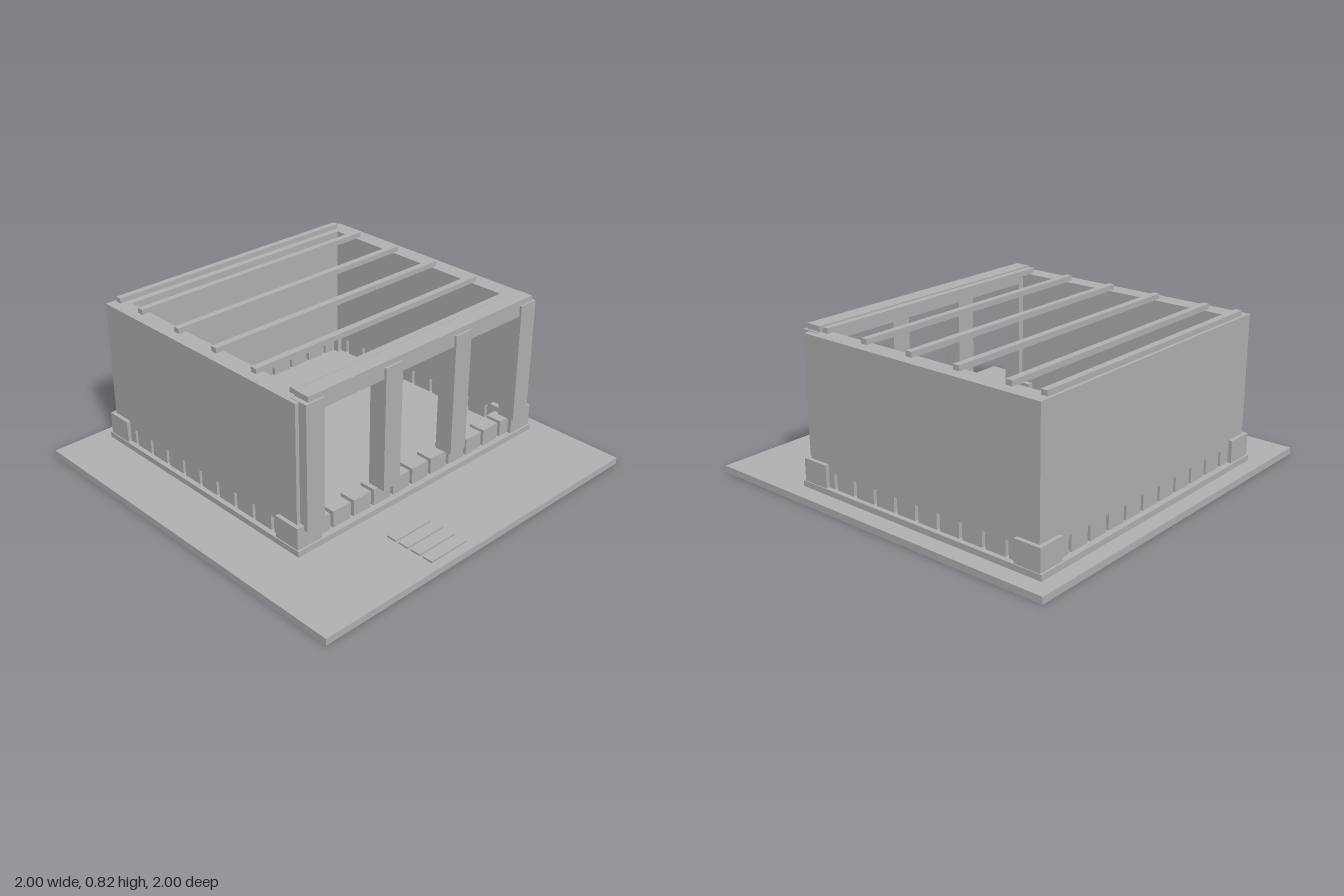
import * as THREE from 'three';

export function createModel() {
  const model = new THREE.Group();
  model.name = 'pavilion';
  const grey = new THREE.MeshStandardMaterial({ color: 0xb2b2b2 });
  grey.name = 'plain grey';

  // Box given by its two opposite corners
  function box(name, [x0, y0, z0], [x1, y1, z1], parent = model) {
    const mesh = new THREE.Mesh(new THREE.BoxGeometry(x1 - x0, y1 - y0, z1 - z0), grey);
    mesh.position.set((x0 + x1) / 2, (y0 + y1) / 2, (z0 + z1) / 2);
    mesh.name = name;
    parent.add(mesh);
  }

  // Ground slab and plinth
  box('groundSlab', [-1, 0, -1], [1, 0.035, 1]);
  box('plinth', [-0.715, 0.035, -0.92], [0.91, 0.065, 0.52]);

  // Corner blocks
  for (const [x0, x1] of [[-0.71, -0.565], [0.76, 0.905]])
    for (const [z0, z1] of [[-0.91, -0.77], [0.365, 0.51]])
      box('cornerBlock', [x0, 0.065, z0], [x1, 0.18, z1]);

  // Rows of base blocks with narrow slots, and a lower core that leaves vents
  const gap = 0.02, pitch = 0.13, recess = 0.02;
  function blockRow(name, axis, from, to, side0, side1, first, count, top) {
    const row = new THREE.Group();
    row.name = name;
    model.add(row);
    const put = (part, a, b, s0, s1, h) => axis === 'x'
      ? box(part, [a, 0.065, s0], [b, h, s1], row)
      : box(part, [s0, 0.065, a], [s1, h, b], row);
    let start = from;
    for (let i = 0; i < count; i++) {
      const c = first + i * pitch;
      put('baseBlock', start, c - gap / 2, side0, side1, top);
      start = c + gap / 2;
    }
    put('baseBlock', start, to, side0, side1, top);
    put('rowCore', from, to, side0 + recess, side1 - recess, 0.125);
  }
  blockRow('frontBlockRow', 'x', -0.565, 0.76, 0.4, 0.49, -0.485, 10, 0.152);
  blockRow('backBlockRow', 'x', -0.565, 0.76, -0.89, -0.805, -0.485, 10, 0.145);
  blockRow('rightBlockRow', 'z', -0.77, 0.365, -0.69, -0.595, -0.72, 9, 0.145);
  blockRow('leftBlockRow', 'z', -0.77, 0.365, 0.79, 0.885, -0.72, 9, 0.145);

  // Walls on three sides
  box('rightWall', [-0.69, 0.145, -0.89], [-0.595, 0.79, 0.485]);
  box('leftWall', [0.79, 0.145, -0.89], [0.885, 0.79, 0.485]);
  box('backWall', [-0.595, 0.145, -0.89], [0.79, 0.79, -0.805]);

  // Front posts and the beam they carry
  for (const x of [-0.617, -0.14, 0.322, 0.797])
    box('frontPost', [x - 0.053, 0.154, 0.435], [x + 0.053, 0.793, 0.532]);
  box('frontBeam', [-0.647, 0.735, 0.435], [0.835, 0.82, 0.52]);

  // Roof rafters
  for (const z of [-0.858, -0.678, -0.393, -0.118, 0.157, 0.41])
    box('rafter', [-0.637, 0.788, z - 0.017], [0.825, 0.816, z + 0.017]);

  // Stepping slabs before the entrance
  for (let i = 0; i < 4; i++) {
    const z = 0.708 + i * 0.0725;
    box('steppingSlab', [-0.32, 0.035, z - 0.028], [-0.086, 0.045, z + 0.028]);
  }
  return model;
}
